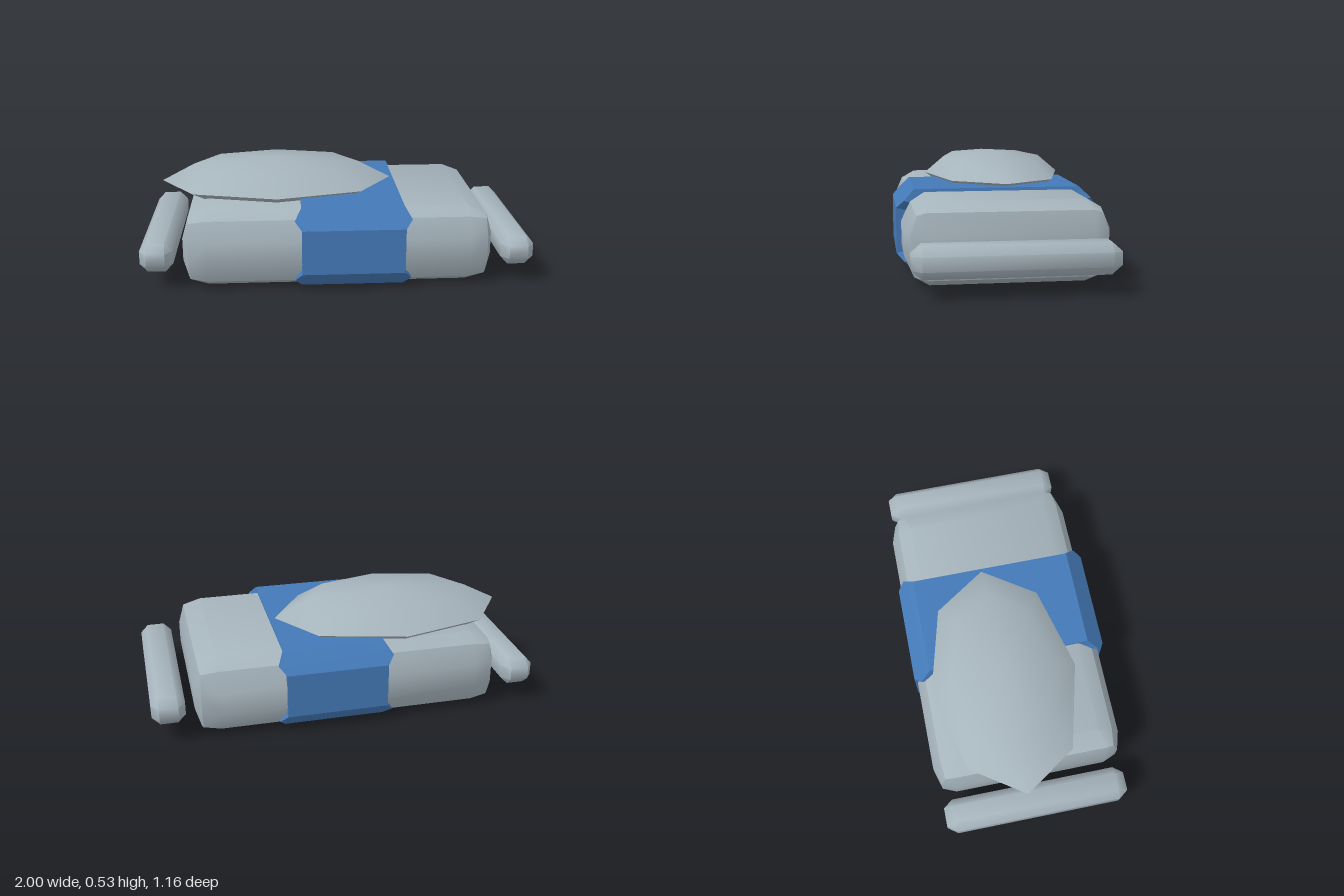
import * as THREE from 'three';
import { toCreasedNormals } from 'three/addons/utils/BufferGeometryUtils.js';
import { ConvexGeometry } from 'three/addons/geometries/ConvexGeometry.js';

const grey = new THREE.MeshStandardMaterial({ color: 0xa6b4bc });
grey.name = 'pale grey';
const blue = new THREE.MeshStandardMaterial({ color: 0x447ab8 });
blue.name = 'blue';

function part(name, geometry, material, crease = 0.55) {
  const mesh = new THREE.Mesh(toCreasedNormals(geometry, crease), material);
  mesh.name = name;
  return mesh;
}

// Hull of [x, y, z] half-extents mirrored into all eight octants
function mirroredHull(corners) {
  const points = [];
  for (const [x, y, z] of corners)
    for (const sx of [-1, 1]) for (const sy of [-1, 1]) for (const sz of [-1, 1])
      points.push(new THREE.Vector3(x * sx, y * sy, z * sz));
  return new ConvexGeometry(points);
}

// Wrapping band: section points of [z, y, half width], bulging at the corners
function bandGeometry(cx, cy) {
  const w = 0.247, wide = 0.28;
  const section = [
    [0.41, 0.4, w], [-0.4, 0.4, w], [-0.452, 0.348, wide], [-0.485, 0.31, w],
    [-0.485, 0.09, w], [-0.452, 0.05, wide], [-0.4, 0.004, w], [0.41, 0.004, w],
    [0.46, 0.05, wide], [0.497, 0.09, w], [0.497, 0.31, w], [0.46, 0.348, wide],
  ];
  const pos = [];
  section.forEach(([z, y, h], i) => {
    const [z2, y2, h2] = section[(i + 1) % section.length];
    const l = [cx - h, y, z], r = [cx + h, y, z];
    const l2 = [cx - h2, y2, z2], r2 = [cx + h2, y2, z2];
    const cl = [cx - w, cy, 0], cr = [cx + w, cy, 0];
    pos.push(...l, ...r, ...r2, ...l, ...r2, ...l2, ...cr, ...r2, ...r, ...cl, ...l, ...l2);
  });
  const g = new THREE.BufferGeometry();
  g.setAttribute('position', new THREE.Float32BufferAttribute(pos, 3));
  g.computeVertexNormals();
  return g;
}

export function createModel() {
  const model = new THREE.Group();
  model.name = 'bandedCase';
  const turned = new THREE.Group();
  turned.name = 'turnedAssembly';
  turned.rotation.y = 0.138;
  model.add(turned);

  // Main block with two-step chamfers
  const block = part('mainBlock', mirroredHull([
    [0.63, 0.1925, 0.36], [0.63, 0.153, 0.43], [0.63, 0.055, 0.473],
    [0.72, 0.153, 0.38], [0.715, 0.14, 0.42], [0.72, 0.055, 0.447], [0.748, 0.055, 0.38],
  ]), grey);
  block.position.y = 0.1925;
  turned.add(block);

  // Blue band around the block
  turned.add(part('band', bandGeometry(0.07, 0.2), blue));

  // Side rails
  for (const side of [-1, 1]) {
    const rail = part(side > 0 ? 'leftRail' : 'rightRail', mirroredHull([
      [0.08, 0.032, 0.41], [0.042, 0.072, 0.41], [0.045, 0.03, 0.457],
    ]), grey, 0.85);
    rail.position.set(side * 0.873, 0.163, 0);
    turned.add(rail);
  }

  // Eight-sided oval cap
  const profile = [[0, 0.33], [0.74, 0.345], [1, 0.413], [0.72, 0.499], [0, 0.531]]
    .map(([r, y]) => new THREE.Vector2(r, y));
  const cap = part('ovalCap', new THREE.LatheGeometry(profile, 8).scale(0.587, 1, 0.363), grey, 0.8);
  cap.position.set(-0.291, 0, -0.046);
  turned.add(cap);

  return model;
}
